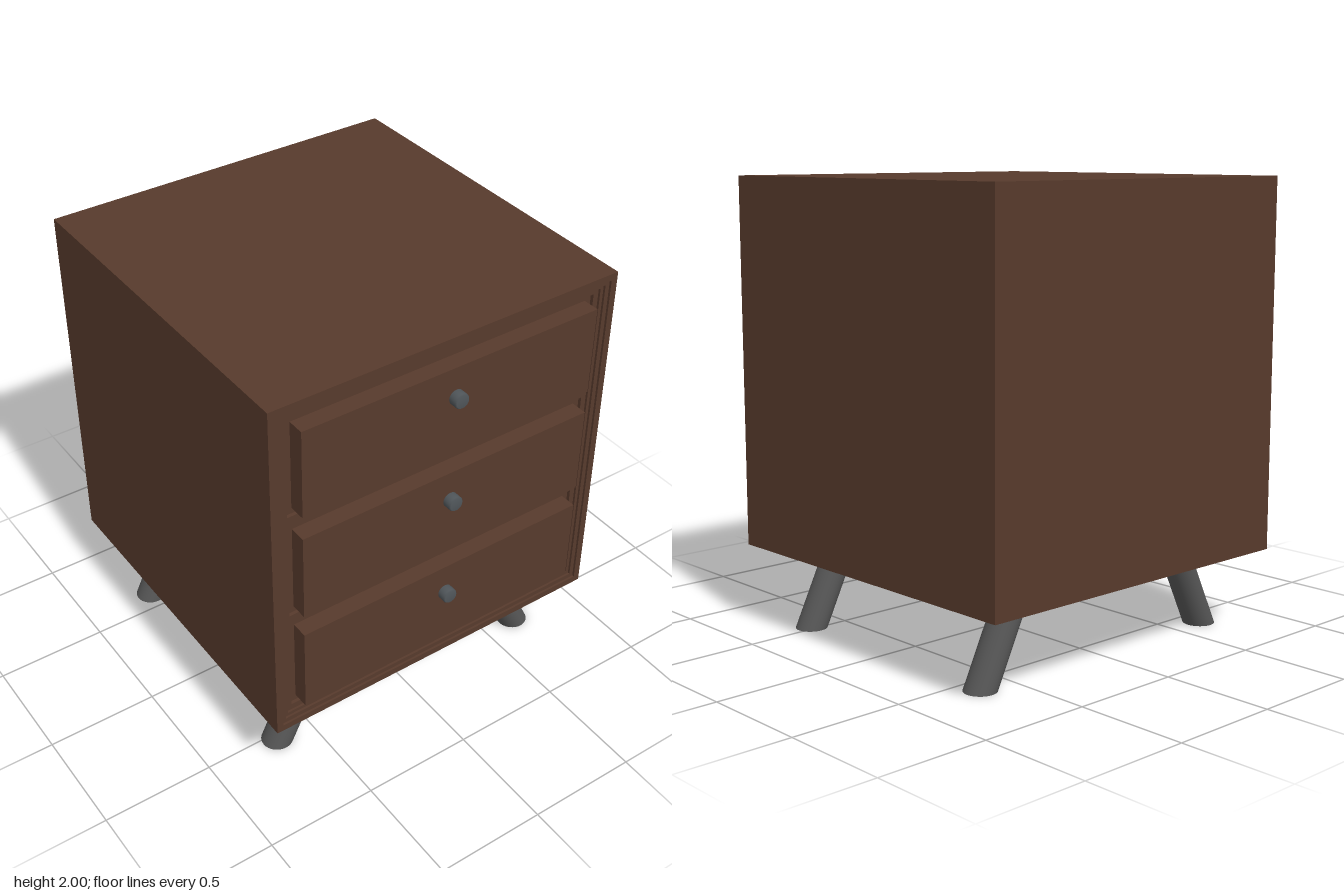
import * as THREE from 'three';

export function createModel() {
  const group = new THREE.Group();
  const mat = (name, color) => {
    const m = new THREE.MeshStandardMaterial({ color });
    m.name = name;
    return m;
  };
  const wood = mat('brown wood', 0x573a2c);
  const legGrey = mat('dark grey', 0x555555);
  const knobGrey = mat('knob grey', 0x50565a);

  const add = (name, geometry, material, x = 0, y = 0, z = 0) => {
    const m = new THREE.Mesh(geometry, material);
    m.name = name;
    m.position.set(x, y, z);
    group.add(m);
    return m;
  };
  const box = (name, w, y0, y1, z0, z1) =>
    add(name, new THREE.BoxGeometry(w, y1 - y0, z1 - z0), wood, 0, (y0 + y1) / 2, (z0 + z1) / 2);
  const rect = (target, hw, y0, y1) => {
    target.moveTo(-hw, y0);
    target.lineTo(hw, y0);
    target.lineTo(hw, y1);
    target.lineTo(-hw, y1);
    target.closePath();
    return target;
  };

  const W = 0.82, Y0 = 0.36, Y1 = 2;
  const drawerY = [0.68, 1.18, 1.685];

  // Cabinet body
  box('cabinet', 2 * W, Y0, Y1, -0.855, 0.735);

  // Front frame: one layer with drawer openings, then stepped rims
  const layer = (name, z0, z1, holes) => {
    const shape = rect(new THREE.Shape(), W, Y0, Y1);
    for (const [hw, a, b] of holes) shape.holes.push(rect(new THREE.Path(), hw, a, b));
    add(name, new THREE.ExtrudeGeometry(shape, { depth: z1 - z0, bevelEnabled: false }), wood, 0, 0, z0);
  };
  layer('drawerFrame', 0.735, 0.75, drawerY.map((y) => [0.73, y - 0.227, y + 0.227]));
  [0.065, 0.05, 0.03].forEach((inset, i) =>
    layer('rimStep' + (i + 1), 0.75 + i * 0.01, 0.76 + i * 0.01,
      [[W - inset, Y0 + inset, Y1 - inset]]));

  // Drawer fronts with round, slightly bevelled knobs
  const knobProfile = [[0, 0], [0.029, 0], [0.034, 0.005], [0.034, 0.04], [0.029, 0.046], [0, 0.046]]
    .map(([r, h]) => new THREE.Vector2(r, h));
  const knobGeometry = new THREE.LatheGeometry(knobProfile, 24).rotateX(Math.PI / 2);
  drawerY.forEach((y, i) => {
    box('drawer' + (i + 1), 1.4, y - 0.2, y + 0.2, 0.735, 0.81);
    add('knob' + (i + 1), knobGeometry, knobGrey, 0, [0.747, 1.247, 1.752][i], 0.809);
  });

  // Splayed legs: cylinders sheared outwards, so the ends stay level
  for (const side of [-1, 1]) {
    const geometry = new THREE.CylinderGeometry(0.071, 0.071, Y0, 32);
    const shear = new THREE.Matrix4().makeShear(-side * 0.486, 0, 0, 0, 0, 0);
    const p = geometry.attributes.position;
    for (let i = 0; i < p.count; i++) p.setX(i, p.getX(i) - side * 0.486 * p.getY(i));
    geometry.attributes.normal.applyNormalMatrix(
      new THREE.Matrix3().getNormalMatrix(shear.identity().set(
        1, -side * 0.486, 0, 0, 0, 1, 0, 0, 0, 0, 1, 0, 0, 0, 0, 1)));
    for (const [end, z] of [['front', 0.525], ['back', -0.6]])
      add(end + (side > 0 ? 'Left' : 'Right') + 'Leg', geometry, legGrey, side * 0.578, Y0 / 2, z);
  }
  return group;
}
